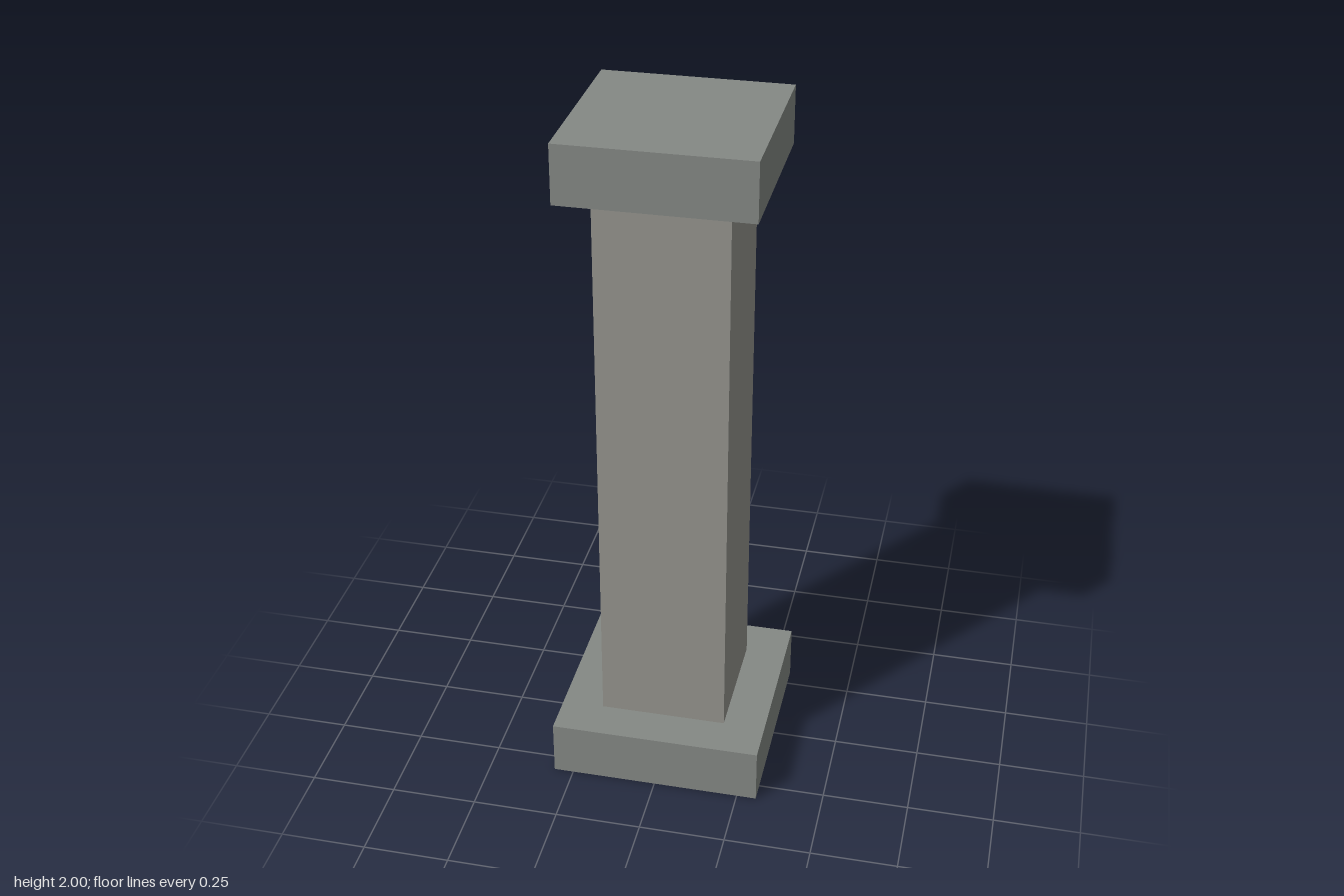
import * as THREE from 'three';

export function createModel() {
  const pillar = new THREE.Group();
  pillar.name = 'pillar';

  const trim = new THREE.MeshStandardMaterial({ color: 0x858985 });
  const stone = new THREE.MeshStandardMaterial({ color: 0x95948e });

  // Square block spanning the heights bottom to top
  const addBlock = (name, width, bottom, top, material) => {
    const block = new THREE.Mesh(new THREE.BoxGeometry(width, top - bottom, width), material);
    block.name = name;
    block.position.y = (bottom + top) / 2;
    pillar.add(block);
  };

  addBlock('base', 0.615, 0, 0.165, trim);
  addBlock('shaft', 0.37, 0.165, 1.833, stone);
  addBlock('capital', 0.535, 1.833, 2, trim);

  return pillar;
}
